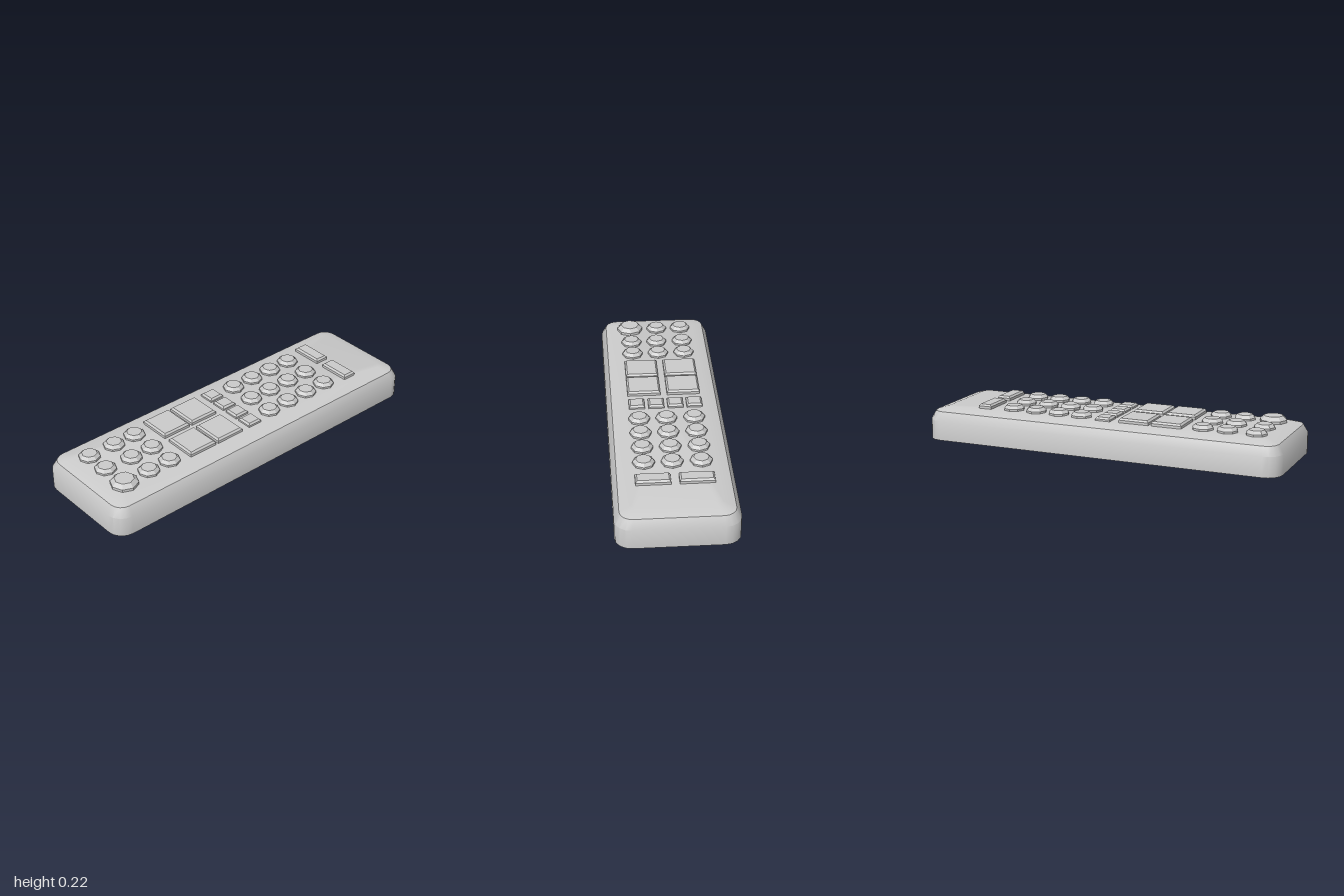
import * as THREE from 'three';
import { toCreasedNormals } from 'three/addons/utils/BufferGeometryUtils.js';

const smooth = new THREE.MeshStandardMaterial({ color: 0xcccccc });
const flat = new THREE.MeshStandardMaterial({ color: 0xcccccc, flatShading: true });

// Outline of a rectangle with rounded corners (segs = 0 gives square corners).
function outline(w, d, r, segs) {
  const pts = [];
  const signs = [[1, -1], [-1, -1], [-1, 1], [1, 1]];
  signs.forEach(([sx, sz], q) => {
    for (let i = 0; i <= segs; i++) {
      const a = (q + (segs ? i / segs : 0)) * Math.PI / 2;
      pts.push([sx * (w / 2 - r) + r * Math.cos(a), sz * (d / 2 - r) - r * Math.sin(a)]);
    }
  });
  return pts;
}

// Capped stack of outlines; profile rows are [inset, y, corner radius].
function loft(w, d, profile, segs) {
  const pos = [], index = [];
  let n = 0;
  for (const [inset, y, r] of profile) {
    const ring = outline(w - 2 * inset, d - 2 * inset, r, segs);
    n = ring.length;
    for (const [x, z] of ring) pos.push(x, y, z);
  }
  const last = (profile.length - 1) * n, bottom = profile.length * n, top = bottom + 1;
  pos.push(0, profile[0][1], 0, 0, profile[profile.length - 1][1], 0);
  for (let i = 0; i < n; i++) {
    const j = (i + 1) % n;
    for (let k = 0; k < last; k += n) index.push(k + i, k + j, k + n + j, k + i, k + n + j, k + n + i);
    index.push(bottom, j, i, top, last + i, last + j);
  }
  const g = new THREE.BufferGeometry();
  g.setAttribute('position', new THREE.Float32BufferAttribute(pos, 3));
  g.setIndex(index);
  g.computeVertexNormals();
  return g;
}

export function createModel() {
  const model = new THREE.Group();
  const add = (name, geo, mat, x = 0, y = 0, z = 0) => {
    const mesh = new THREE.Mesh(geo, mat);
    mesh.name = name;
    mesh.position.set(x, y, z);
    model.add(mesh);
  };

  // Body: rounded slab with a bevelled shoulder and slightly crowned top
  const body = loft(2, 0.62, [
    [0.028, 0, 0.06], [0, 0.007, 0.085], [0, 0.115, 0.085],
    [0.026, 0.162, 0.065], [0.088, 0.181, 0.03],
  ], 4);
  add('body', toCreasedNormals(body, 0.6), smooth);

  const base = 0.175;

  // Round buttons: eight-sided with a chamfered top
  const roundButton = (r, h) => new THREE.LatheGeometry([
    [0, 0], [r, 0], [r, h * 0.5], [r * 0.7, h], [0, h],
  ].map(([x, y]) => new THREE.Vector2(x, y)), 8);
  const small = roundButton(0.057, 0.033);
  for (const x of [-0.68, -0.548, 0.136, 0.27, 0.404, 0.538]) {
    for (const z of [-0.147, 0, 0.144]) add('roundButton', small, flat, x, base, z);
  }
  for (const z of [-0.147, -0.01]) add('roundButton', small, flat, -0.835, base, z);
  add('largeRoundButton', roundButton(0.073, 0.041), flat, -0.835, base, 0.146);

  // Rectangular keys with a narrow bevel
  const key = (w, d, h) => loft(w, d, [[0, 0, 0], [0, h - 0.01, 0], [0.009, h, 0]], 0);

  const squareKey = key(0.166, 0.178, 0.03);
  for (const x of [-0.364, -0.182]) {
    for (const z of [-0.109, 0.105]) add('largeSquareKey', squareKey, flat, x, base, z);
  }

  const tinyKey = key(0.084, 0.084, 0.025);
  for (const z of [-0.159, -0.057, 0.046, 0.15]) add('smallSquareKey', tinyKey, flat, -0.008, base, z);

  const barKey = key(0.076, 0.176, 0.03);
  for (const z of [-0.112, 0.107]) add('barKey', barKey, flat, 0.691, base, z);

  return model;
}
